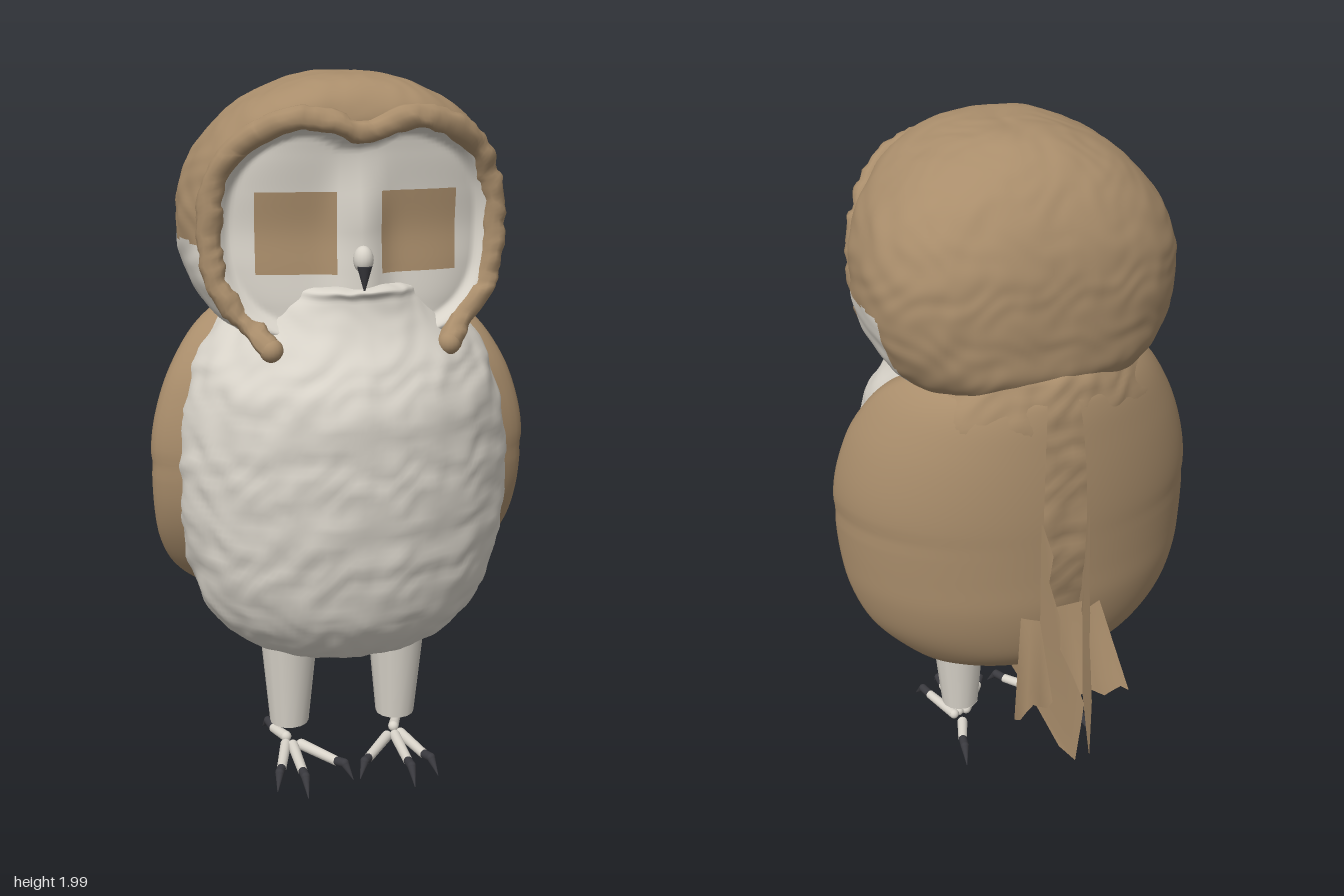
import * as THREE from 'three';

const mat = (name, color) => Object.assign(new THREE.MeshStandardMaterial({ color, side: THREE.DoubleSide }), { name });
const brown = mat('brown feather', 0xa98d6b);
const white = mat('off white down', 0xd9d4ca);
const dark = mat('dark claw', 0x3a3a3f);

const { smoothstep } = THREE.MathUtils;
const spow = (c, p) => Math.sign(c) * Math.abs(c) ** p;

// Lumpy feather texture
const lump = (x, y, z) =>
  0.6 * Math.sin(17 * x + 3 * Math.sin(13 * y)) * Math.sin(21 * y + 3 * Math.sin(11 * z + 9 * x)) +
  0.4 * Math.sin(37 * x + 29 * z + 3 * Math.sin(23 * y)) * Math.sin(43 * y + 2 * Math.sin(31 * x));

// Smooth interpolation along rows of numbers, t from 0 to 1
function sample(rows, t) {
  const n = rows.length - 1, k = Math.min(Math.floor(t * n), n - 1), f = t * n - k;
  const r = i => rows[Math.max(0, Math.min(n, i))];
  return r(k).map((b, c) => {
    const a = r(k - 1)[c], d = r(k + 1)[c], e = r(k + 2)[c];
    return b + 0.5 * f * (d - a + f * (2 * a - 5 * b + 4 * d - e + f * (3 * (b - d) + e - a)));
  });
}

// Surface from a rule f(u, v); pick(center) chooses white (1) or brown (0) for each cell
function grid(name, f, nu, nv, closed, materials, pick = () => 0) {
  const pos = [], sets = [[], []], cols = closed ? nu : nu + 1;
  for (let j = 0; j <= nv; j++) for (let i = 0; i < cols; i++) pos.push(...f(i / nu, j / nv));
  for (let j = 0; j < nv; j++) for (let i = 0; i < nu; i++) {
    const a = j * cols + i, b = j * cols + (i + 1) % cols, c = b + cols, d = a + cols;
    const mid = [0, 1, 2].map(k => (pos[a * 3 + k] + pos[c * 3 + k]) / 2);
    sets[pick(...mid)].push(a, b, c, a, c, d);
  }
  const g = new THREE.BufferGeometry();
  g.setAttribute('position', new THREE.Float32BufferAttribute(pos, 3));
  g.setIndex([...sets[0], ...sets[1]]);
  if (Array.isArray(materials)) {
    g.addGroup(0, sets[0].length, 0);
    g.addGroup(sets[0].length, sets[1].length, 1);
  }
  g.computeVertexNormals();
  const m = new THREE.Mesh(g, materials);
  m.name = name;
  return m;
}

// Rows: height, half width, back z, front z
const bodyRows = [
  [0.36, 0, 0.08, 0.08], [0.365, 0.15, -0.05, 0.2], [0.39, 0.26, -0.1, 0.29], [0.45, 0.35, -0.17, 0.36],
  [0.55, 0.415, -0.23, 0.425], [0.7, 0.455, -0.27, 0.465], [0.85, 0.472, -0.3, 0.485], [1.0, 0.468, -0.31, 0.492],
  [1.15, 0.44, -0.31, 0.49], [1.25, 0.405, -0.31, 0.45], [1.35, 0.33, -0.3, 0.395], [1.42, 0.25, -0.26, 0.375],
  [1.455, 0.17, -0.1, 0.36], [1.46, 0, 0.1, 0.1]];
const headRows = [
  [1.27, 0, 0.1, 0.1], [1.28, 0.2, -0.1, 0.28], [1.33, 0.32, -0.22, 0.35], [1.4, 0.39, -0.275, 0.355],
  [1.5, 0.433, -0.285, 0.345], [1.6, 0.446, -0.288, 0.335], [1.7, 0.436, -0.28, 0.345], [1.8, 0.395, -0.25, 0.36],
  [1.9, 0.31, -0.19, 0.37], [1.965, 0.2, -0.11, 0.33], [1.995, 0.1, -0.03, 0.26], [2.0, 0, 0.12, 0.12]];

// Point on a rounded cross-section
function ring(rows, u, v, nFront, nBack) {
  const [y, w, zb, zf] = sample(rows, v), a = u * Math.PI * 2, c = (zb + zf) / 2, d = (zf - zb) / 2;
  const p = 2 / (Math.cos(a) > 0 ? nFront : nBack);
  return [w * spow(Math.sin(a), p), y, c + d * spow(Math.cos(a), p)];
}
function puff([x, y, z], amp, cz) {
  const k = 1 + amp * lump(x, y, z);
  return [x * k, y + amp * 0.25 * lump(z, x, y), cz + (z - cz) * k];
}

// Heart-shaped face mask and the front surface of the head
const notch = (x, y) => (y > 1.6 ? 0.05 * Math.exp(-((x / 0.09) ** 2)) : 0);
const heart = (x, y) => (Math.abs(x) / 0.375) ** 2.6 + (Math.abs(y + notch(x, y) - 1.6) / 0.3) ** 2.6;
const relief = (x, y) => smoothstep(1 - heart(x, y), 0, 0.3) *
  (-0.045 + 0.06 * Math.exp(-((x / 0.06) ** 2)) * (1 - smoothstep(y, 1.6, 1.82)));
function headZ(x, y) {
  let lo = 0, hi = 1;
  for (let i = 0; i < 25; i++) {
    const m = (lo + hi) / 2;
    if (sample(headRows, m)[0] < y) lo = m; else hi = m;
  }
  const [, w, zb, zf] = sample(headRows, lo);
  return (zb + zf) / 2 + (zf - zb) / 2 * Math.max(0, 1 - (Math.abs(x) / w) ** 3.2) ** (1 / 3.2);
}

// Tapered limb between two points
function limb(name, a, b, ra, rb, material) {
  const from = new THREE.Vector3(...a), to = new THREE.Vector3(...b), dir = to.clone().sub(from);
  const m = new THREE.Mesh(new THREE.CylinderGeometry(rb, ra, dir.length(), 14), material);
  m.name = name;
  m.position.copy(from).add(to).multiplyScalar(0.5);
  m.quaternion.setFromUnitVectors(new THREE.Vector3(0, 1, 0), dir.normalize());
  return m;
}
function ball(name, p, r, scale, material) {
  const m = new THREE.Mesh(new THREE.SphereGeometry(r, 16, 12), material);
  m.name = name;
  m.position.set(...p);
  m.scale.set(...scale);
  return m;
}

// Wing rows: height, outer x, front edge z, depth
const wingRows = [
  [1.385, 0.27, -0.05, 0.34], [1.36, 0.35, 0.02, 0.39], [1.3, 0.42, 0.09, 0.41], [1.2, 0.48, 0.14, 0.42],
  [1.1, 0.517, 0.16, 0.425], [1.0, 0.537, 0.167, 0.425], [0.9, 0.538, 0.162, 0.42], [0.8, 0.535, 0.142, 0.415],
  [0.7, 0.525, 0.1, 0.41], [0.6, 0.495, 0.04, 0.39], [0.52, 0.44, -0.03, 0.36], [0.46, 0.38, -0.1, 0.31],
  [0.44, 0.26, -0.14, 0.26]].reverse();
function wing(s) {
  return grid('wing', (u, v) => {
    const q = s > 0 ? u : 1 - u, [y, w, zf, zr] = sample(wingRows, v);
    const b0 = Math.asin((zf - 0.1) / zr), b = b0 + (-1.45 - b0) * q;
    const k = 1 - 0.14 * Math.max(0, 1 - q / 0.12) ** 2 - 0.008 * Math.exp(-(((y - 0.93) / 0.015) ** 2));
    return [s * w * Math.cos(b) * k, y, 0.1 + zr * Math.sin(b)];
  }, 40, 60, false, brown);
}

// Upright tail feather, outline in z and y
function tailFeather(s) {
  const pts = [[-0.27, 1], [-0.33, 1], [-0.37, 0.92], [-0.355, 0.83], [-0.4, 0.73], [-0.4, 0.63], [-0.45, 0.57],
    [-0.495, 0.5], [-0.485, 0.42], [-0.465, 0.28], [-0.4, 0.29], [-0.28, 0.39], [-0.12, 0.4], [-0.22, 0.6]];
  const g = new THREE.ShapeGeometry(new THREE.Shape(pts.map(p => new THREE.Vector2(...p))));
  const p = g.attributes.position;
  for (let i = 0; i < p.count; i++) {
    const z = p.getX(i);
    p.setXYZ(i, s * (0.01 + 0.07 * Math.min(1, (z + 0.5) / 0.2)), p.getY(i), z);
  }
  g.computeVertexNormals();
  const m = new THREE.Mesh(g, brown);
  m.name = 'tailFeather';
  return m;
}

function foot(s) {
  const g = new THREE.Group();
  g.name = 'foot';
  // toe start, toe end, claw tip
  const toes = [
    [[0.13, 0.06, 0.15], [0.05, 0.055, 0.26], [0.01, 0.02, 0.32]],
    [[0.155, 0.06, 0.15], [0.155, 0.055, 0.3], [0.155, 0.015, 0.39]],
    [[0.175, 0.06, 0.14], [0.21, 0.055, 0.27], [0.235, 0.02, 0.345]],
    [[0.165, 0.06, 0.09], [0.19, 0.055, 0.02], [0.21, 0.02, -0.07]]];
  for (const toe of toes) {
    const [a, b, c] = toe.map(p => [p[0] * s, p[1], p[2]]);
    const knuckle = b.map((v, i) => v + (c[i] - v) * 0.5);
    knuckle[1] = 0.06;
    g.add(limb('toe', a, b, 0.016, 0.014, white), ball('toeEnd', a, 0.016, [1, 1, 1], white),
      ball('toeTip', b, 0.014, [1, 1, 1], white),
      limb('clawBase', b, knuckle, 0.013, 0.013, dark), ball('clawBend', knuckle, 0.013, [1, 1, 1], dark),
      limb('clawTip', knuckle, c, 0.013, 0.001, dark));
  }
  return g;
}

export function createModel() {
  const owl = new THREE.Group();
  owl.name = 'owl';

  // Body with white front and brown back
  owl.add(grid('body', (u, v) => puff(ring(bodyRows, u, v, 2, 2.2), 0.02, 0.1), 150, 100, true,
    [brown, white], (x, y, z) => (z > -0.06 ? 1 : 0)));

  // Head with sunken heart-shaped face and pale cheeks
  owl.add(grid('head', (u, v) => {
    const p = ring(headRows, u, v, 3.2, 2.3), inFace = p[2] > 0.1 && heart(p[0], p[1]) < 1;
    if (!inFace) return puff(p, 0.012, 0.05);
    p[2] += relief(p[0], p[1]);
    return p;
  }, 180, 110, true, [brown, white], (x, y, z) =>
    ((z > 0.1 && heart(x, y) < 1) || (y < 1.565 && z > -0.06) ? 1 : 0)));

  // Feathered rim around the face
  const rimPts = [[-0.24, 1.3, 0.35]];
  for (let i = -16; i <= 16; i++) {
    const b = i / 16 * 2.36;
    const x = 0.385 * spow(Math.sin(b), 2 / 2.6);
    let y = 1.6 + 0.31 * spow(Math.cos(b), 2 / 2.6);
    y -= notch(x, y);
    rimPts.push([x, y, headZ(x, y) - 0.005]);
  }
  rimPts.push([0.24, 1.3, 0.35]);
  const curve = new THREE.CatmullRomCurve3(rimPts.map(p => new THREE.Vector3(...p)));
  const rimGeo = new THREE.TubeGeometry(curve, 160, 0.032, 12);
  const rp = rimGeo.attributes.position;
  for (let i = 0; i < rp.count; i++) {
    const [x, y, z] = [rp.getX(i), rp.getY(i), rp.getZ(i)], k = 0.008 * lump(x * 1.5, y * 1.5, z);
    rp.setXYZ(i, x + k, y + k, z + k);
  }
  rimGeo.computeVertexNormals();
  const rim = new THREE.Mesh(rimGeo, brown);
  rim.name = 'faceRim';
  owl.add(rim);

  // Beak
  owl.add(ball('beak', [0, 1.535, 0.37], 0.03, [0.9, 1.2, 1], white),
    limb('beakTip', [0, 1.52, 0.385], [0, 1.455, 0.385], 0.02, 0.002, dark));

  for (const s of [-1, 1]) {
    owl.add(wing(s), tailFeather(s), foot(s));
    owl.add(ball('rimEnd', [0.24 * s, 1.3, 0.35], 0.032, [1, 1, 1], brown));
    // Square eye plate following the face
    owl.add(grid('eye', (u, v) => {
      const x = s * 0.165 + (u - 0.5) * 0.21, y = 1.49 + 0.215 * v;
      return [x, y, headZ(x, y) + relief(x, y) + 0.009];
    }, 12, 12, false, brown));
    // Legs
    owl.add(limb('leg', [0.16 * s, 0.13, 0.12], [0.16 * s, 0.45, 0.125], 0.057, 0.088, white),
      limb('legEnd', [0.16 * s, 0.105, 0.12], [0.16 * s, 0.13, 0.12], 0.004, 0.057, white));
  }

  // Fanned under-tail
  owl.add(grid('tailFan', (u, v) => {
    const q = 2 * u - 1, w = 0.18 - 0.06 * v;
    return [q * w, 0.42 + 0.28 * v + 0.015 * Math.sin(u * 25) * (1 - v), -0.355 + 0.06 * v - 0.035 * q * q * (1 - v)];
  }, 16, 6, false, brown));
  return owl;
}
